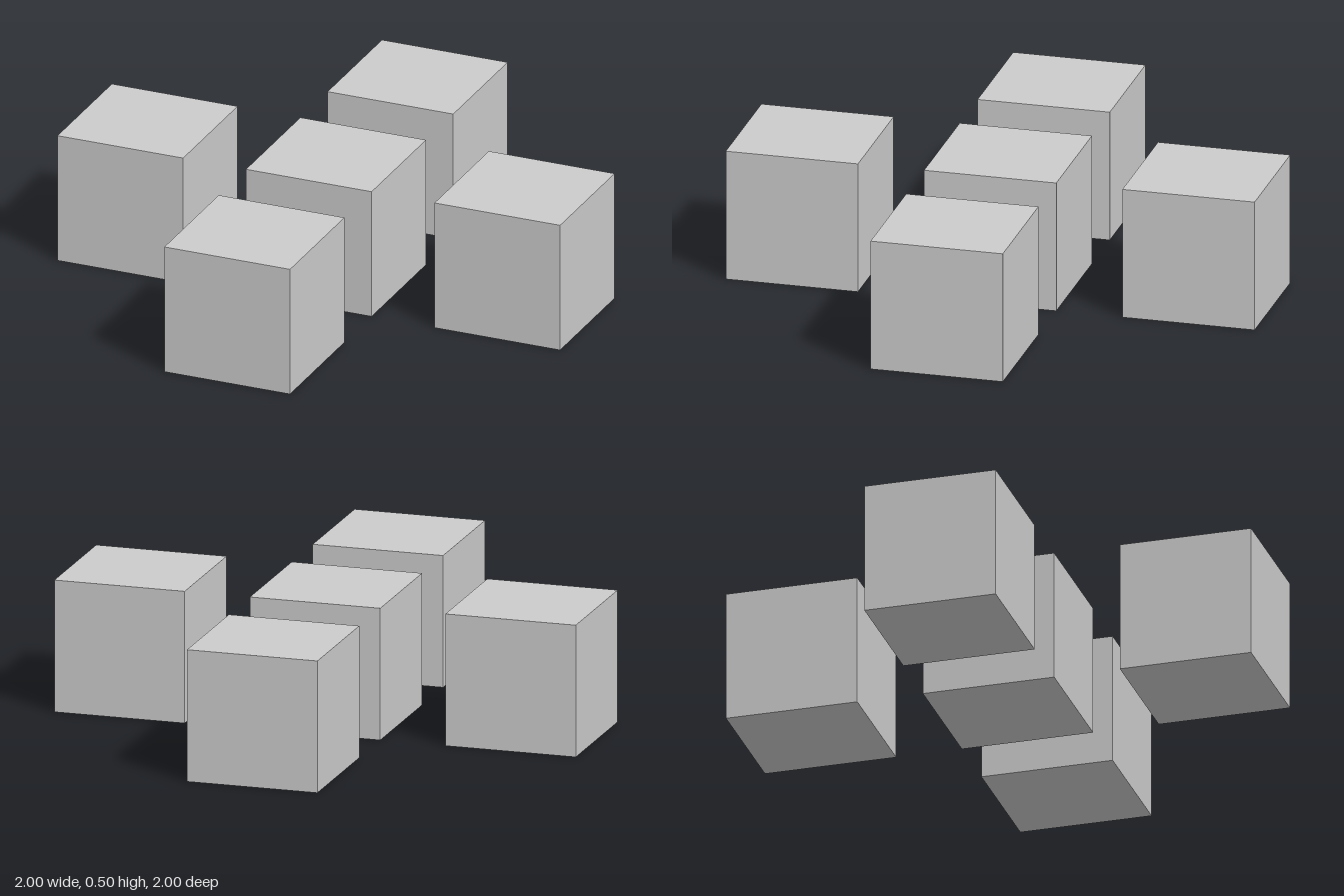
import * as THREE from 'three';

const SIZE = 0.5;
const SPACING = 0.75;

export function createModel() {
  const group = new THREE.Group();
  group.name = 'cubeCross';
  const geometry = new THREE.BoxGeometry(SIZE, SIZE, SIZE);
  const material = new THREE.MeshStandardMaterial({ color: 0xcccccc });

  // Five equal cubes laid out as a plus: name, x step, z step
  const layout = [
    ['centerCube', 0, 0],
    ['leftCube', 1, 0],
    ['rightCube', -1, 0],
    ['frontCube', 0, 1],
    ['backCube', 0, -1],
  ];
  for (const [name, x, z] of layout) {
    const cube = new THREE.Mesh(geometry, material);
    cube.name = name;
    cube.position.set(x * SPACING, SIZE / 2, z * SPACING);
    group.add(cube);
  }
  return group;
}
